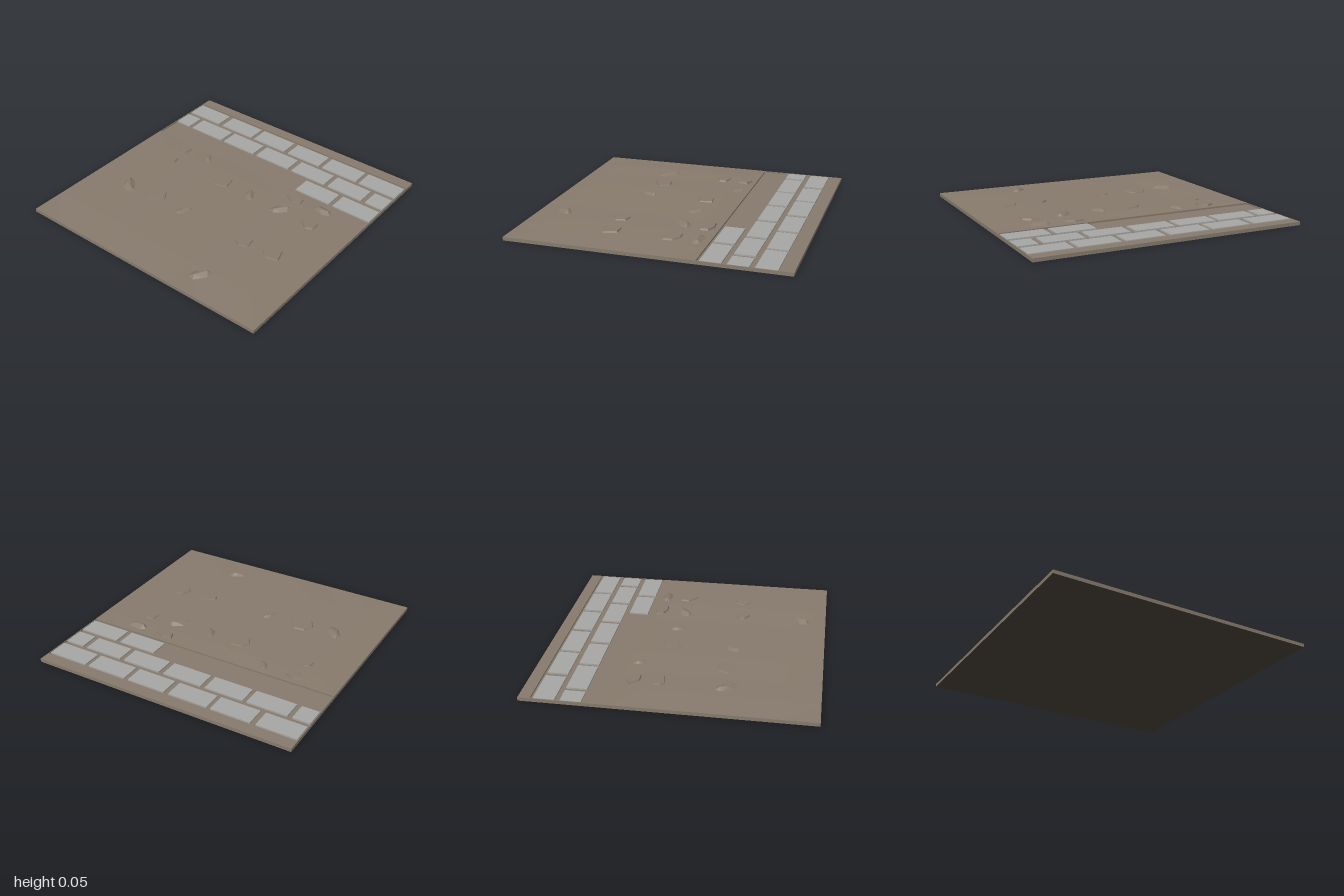
import * as THREE from 'three';
import { ConvexGeometry } from 'three/addons/geometries/ConvexGeometry.js';

export function createModel() {
  const model = new THREE.Group();
  const colour = (name, color) => {
    const material = new THREE.MeshStandardMaterial({ color, flatShading: true });
    material.name = name;
    return material;
  };
  const earth = colour('earth brown', 0x867a6c);
  const paving = colour('paving grey', 0xa6a7a4);
  const underside = colour('dark soil', 0x484036);

  const add = (name, geometry, material, x = 0, y = 0, z = 0) => {
    const mesh = new THREE.Mesh(geometry, material);
    mesh.name = name;
    mesh.position.set(x, y, z);
    model.add(mesh);
    return mesh;
  };
  // Box given by its limits
  const block = (name, material, x0, x1, y0, y1, z0, z1) =>
    add(name, new THREE.BoxGeometry(x1 - x0, y1 - y0, z1 - z0), material,
      (x0 + x1) / 2, (y0 + y1) / 2, (z0 + z1) / 2);

  // Base slab with a dark underside; its top is the floor of the sunken path
  const floor = 0.014, rim = 0.025;
  block('base', [earth, earth, earth, underside, earth, earth], -1, 1, 0, floor, -1, 1);
  block('sideVerge', earth, 0.915, 1, floor, rim, -1, 1);
  block('backRim', earth, 0.365, 0.915, floor, rim, -1, -0.994);
  block('frontRim', earth, 0.365, 0.915, floor, rim, 0.994, 1);

  // Uneven ground: a box whose inner top vertices are raised
  const xs = [-1, -0.75, -0.47, -0.23, 0, 0.22, 0.365];
  const zs = [-1, -0.78, -0.55, -0.28, 0, 0.28, 0.55, 0.78, 1];
  const ground = new THREE.BoxGeometry(6, 1, 8, 6, 1, 8);
  const p = ground.attributes.position;
  for (let i = 0; i < p.count; i++) {
    const a = Math.round(p.getX(i) + 3), b = Math.round(p.getZ(i) + 4);
    const inner = a > 0 && a < 6 && b > 0 && b < 8;
    const bump = inner ? 0.002 + 0.002 * ((a * 5 + b * 3) % 5) : 0;
    p.setXYZ(i, xs[a], p.getY(i) > 0 ? 0.026 + bump : floor, zs[b]);
  }
  ground.computeVertexNormals();
  add('unevenGround', ground, earth);

  // Paving stones in three staggered columns: [x0, x1, [z0, z1]...]
  const columns = [
    [0.385, 0.53, [0.35, 0.645], [0.68, 0.99]],
    [0.568, 0.713, [-0.99, -0.86], [-0.825, -0.52], [-0.49, -0.195], [-0.16, 0.143],
      [0.18, 0.48], [0.515, 0.808], [0.845, 0.99]],
    [0.75, 0.897, [-0.99, -0.69], [-0.65, -0.35], [-0.32, -0.02], [0.018, 0.312],
      [0.345, 0.65], [0.68, 0.99]],
  ];
  for (const [x0, x1, ...rows] of columns)
    for (const [z0, z1] of rows) block('pavingStone', paving, x0, x1, floor, rim, z0, z1);

  // Flat stones: x, z, then the outline around it in hundredths
  const flatStones = [
    [0.105, -0.66, [-5, -3], [-2, -6], [4, -5], [5, -1], [3, 6], [-3, 7]],
    [0.285, -0.66, [-5, -2], [2, -7], [5, -1], [2, 6], [-5, 5]],
    [-0.34, -0.41, [-8, -5], [-1, -9], [7, -5], [8, 4], [0, 9]],
    [0.1, -0.14, [-7, -3], [0, -7], [6, -3], [7, 6], [-3, 8]],
    [-0.36, 0.42, [-6, 0], [-2, -6], [2, -7], [6, -2], [5, 6], [-3, 7]],
    [-0.34, 0.66, [-7, -2], [-2, -7], [6, -4], [6, 5], [-4, 8]],
    [0.095, 0.665, [-7, 1], [0, -7], [7, -6], [7, 1], [3, 7], [-5, 7]],
    [0.28, 0.415, [-5, 1], [-2, -6], [4, -8], [5, 0], [2, 7], [-4, 8]],
  ];
  for (const [x, z, ...outline] of flatStones) {
    const ring = (y, s) => outline.map(([u, v]) => new THREE.Vector3(u * s, y, v * s));
    add('flatStone', new ConvexGeometry([...ring(0, 0.0105), ...ring(0.022, 0.0088)]), earth, x, 0.02, z);
  }

  // Ridged shards: x, z, length, height, turn
  const plan = [[-0.5, -0.05], [-0.3, 0.26], [0.25, 0.24], [0.5, 0.04], [0.32, -0.24], [-0.28, -0.27]];
  const shards = [
    [-0.36, -0.66, 0.215, 0.035, 0.65], [-0.35, -0.135, 0.17, 0.03, -0.5],
    [0.28, -0.415, 0.135, 0.026, 0.5], [0.1, 0.135, 0.16, 0.028, 0.48],
    [-0.81, 0.41, 0.19, 0.034, -0.8], [0.1, 0.41, 0.2, 0.033, -0.95],
    [0.28, 0.66, 0.185, 0.032, 1.4],
  ];
  for (const [x, z, length, height, turn] of shards) {
    const points = plan.map(([u, v]) => new THREE.Vector3(u * length, 0, v * length));
    points.push(new THREE.Vector3(-0.22 * length, height * 0.85, 0.06 * length),
      new THREE.Vector3(0.26 * length, height, -0.04 * length),
      new THREE.Vector3(0.05 * length, height * 0.9, -0.12 * length));
    add('shardStone', new ConvexGeometry(points), earth, x, 0.02, z).rotation.y = turn;
  }
  return model;
}
